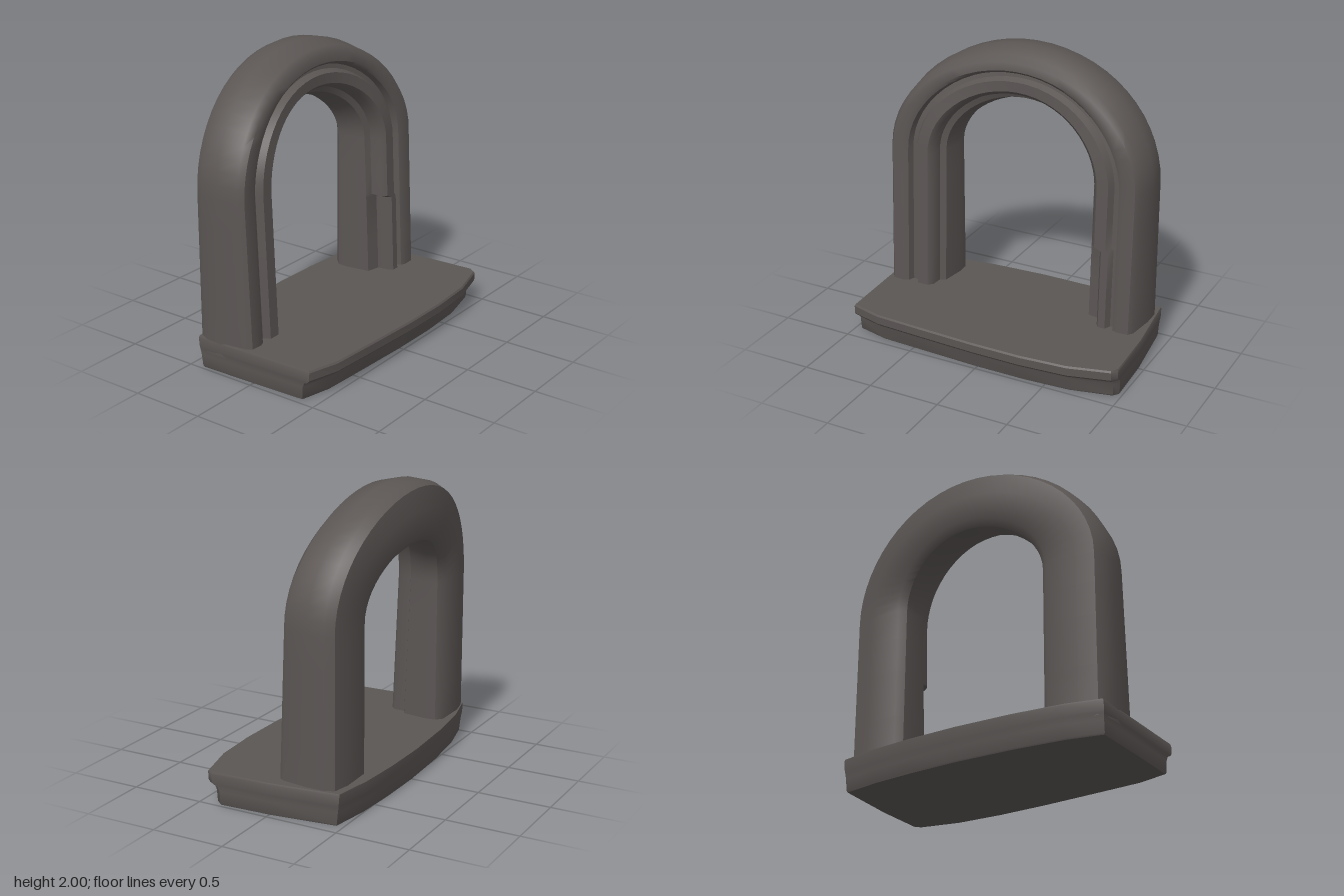
import * as THREE from 'three';
import { toCreasedNormals } from 'three/addons/utils/BufferGeometryUtils.js';

const stone = new THREE.MeshStandardMaterial({ color: 0x5b5654 });
stone.name = 'dark stone';

// Skin equal-length closed rings of points; optionally cap both ends; face outward.
function loft(rings, capped, crease) {
  const tris = [];
  const n = rings[0].length;
  for (let i = 0; i + 1 < rings.length; i++) {
    for (let j = 0; j < n; j++) {
      const k = (j + 1) % n;
      const [a, b, c, d] = [rings[i][j], rings[i][k], rings[i + 1][k], rings[i + 1][j]];
      tris.push([a, b, c], [a, c, d]);
    }
  }
  if (capped) {
    const cap = (ring, flip) => {
      const mid = new THREE.Vector3();
      ring.forEach((p) => mid.addScaledVector(p, 1 / n));
      ring.forEach((p, j) => {
        const q = ring[(j + 1) % n];
        tris.push(flip ? [mid, q, p] : [mid, p, q]);
      });
    };
    cap(rings[0], true);
    cap(rings[rings.length - 1], false);
  }
  // The signed volume tells whether the winding must be reversed
  const cross = new THREE.Vector3();
  const volume = tris.reduce((v, [a, b, c]) => v + a.dot(cross.crossVectors(b, c)), 0);
  const points = tris.flatMap(([a, b, c]) => (volume < 0 ? [a, c, b] : [a, b, c]));
  return toCreasedNormals(new THREE.BufferGeometry().setFromPoints(points), crease);
}

function createArch() {
  const CX = -0.035, SPRING = 1.2;
  // Section: [half-width, rise, z, half-width where the inner bead has broken off]
  const section = [
    [0.80, 0.62, -0.455, 0.80], [0.92, 0.76, -0.43, 0.92], [0.95, 0.79, -0.37, 0.95],
    [0.95, 0.80, -0.25, 0.95], [0.925, 0.765, -0.10, 0.925], [0.90, 0.72, -0.065, 0.90],
    [0.82, 0.665, -0.06, 0.82], [0.785, 0.65, -0.075, 0.785], [0.77, 0.64, -0.12, 0.77],
    [0.735, 0.61, -0.115, 0.75], [0.71, 0.59, -0.07, 0.73], [0.63, 0.52, -0.07, 0.68],
    [0.60, 0.495, -0.10, 0.66], [0.595, 0.48, -0.18, 0.65], [0.555, 0.44, -0.20, 0.555],
    [0.53, 0.40, -0.33, 0.53], [0.535, 0.405, -0.41, 0.535], [0.58, 0.45, -0.45, 0.58],
  ];
  const ring = (cos, sin, legY, broken) => section.map(([a, b, z, chip]) => {
    const y = sin > 0 ? SPRING + b * sin : legY;
    const bow = -0.095 * (1 - cos * cos);
    const lean = z > -0.25 ? 0.04 * Math.max(0, SPRING - y) : 0;
    return new THREE.Vector3(CX + (broken ? chip : a) * cos, y, z + bow + lean);
  });

  const rings = [];
  for (const y of [0.12, 0.45, 0.78, 1.0]) rings.push(ring(-1, 0, y, false));
  const STEPS = 28;
  for (let i = 0; i <= STEPS; i++) {
    const t = Math.PI * (1 - i / STEPS);
    const end = i === 0 || i === STEPS;
    rings.push(ring(Math.cos(t), end ? 0 : Math.sin(t), SPRING, false));
  }
  for (const y of [1.0, 0.79]) rings.push(ring(1, 0, y, false));
  for (const y of [0.765, 0.45, 0.12]) rings.push(ring(1, 0, y, true));
  const arch = new THREE.Mesh(loft(rings, false, 0.75), stone);
  arch.name = 'mouldedArch';
  return arch;
}

function createBase() {
  // Bowed outline as [x, z], from the back round to the front
  const outline = [
    [-0.99, -0.43], [-0.75, -0.49], [-0.4, -0.53], [0, -0.55], [0.35, -0.545], [0.65, -0.525],
    [0.92, -0.48], [0.975, 0], [0.99, 0.41], [0.96, 0.455], [0.68, 0.53], [0.35, 0.553],
    [0, 0.55], [-0.4, 0.53], [-0.75, 0.51], [-0.965, 0.45], [-0.98, 0],
  ];
  // Levels: [y, inset of the front, inset of the back, scale in x]
  const levels = [
    [0, 0.15, 0.06, 0.985], [0.01, 0.14, 0.05, 0.99], [0.09, 0.13, 0.03, 0.993],
    [0.12, 0.10, 0.02, 0.995], [0.135, 0.03, 0.015, 0.998], [0.15, 0.005, 0.01, 1],
    [0.205, 0, 0, 1], [0.217, 0.015, 0, 0.995],
  ];
  const rings = levels.map(([y, front, back, sx]) => outline.map(([x, z]) =>
    new THREE.Vector3(x * sx, y, z * (1 - (z > 0 ? front : back)))));
  const base = new THREE.Mesh(loft(rings, true, 0.6), stone);
  base.name = 'bowedSillBase';
  return base;
}

export function createModel() {
  const model = new THREE.Group();
  model.name = 'stoneArchOnBase';
  model.add(createArch(), createBase());
  return model;
}
